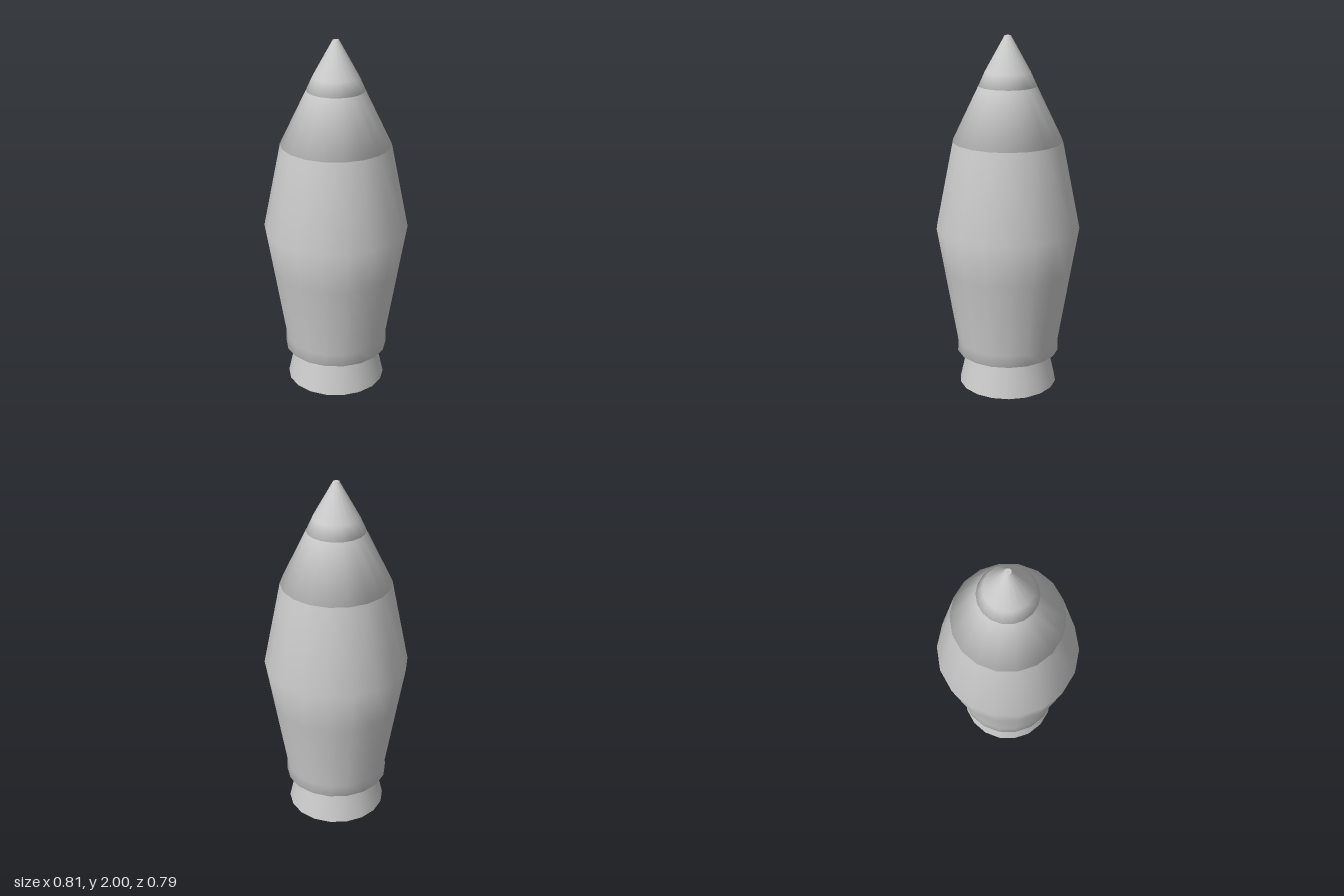
import * as THREE from 'three';

const SIDES = 18;
const grey = new THREE.MeshStandardMaterial({ color: 0xcccccc });
const greyDouble = new THREE.MeshStandardMaterial({ color: 0xcccccc, side: THREE.DoubleSide });

// Revolves [radius, height] points; a rising profile faces outward, a falling one inward.
function turned(name, profile, material = grey) {
  const points = profile.map(([r, y]) => new THREE.Vector2(r, y));
  const mesh = new THREE.Mesh(new THREE.LatheGeometry(points, SIDES, Math.PI / 2), material);
  mesh.name = name;
  return mesh;
}

export function createModel() {
  const rocket = new THREE.Group();
  rocket.name = 'rocket';

  // Exhaust nozzle: a flared, open, thick-walled ring reaching up into the hull
  rocket.add(turned('nozzleOuterWall', [[0.28, 0], [0.235, 0.2], [0.208, 0.32]]));
  rocket.add(turned('nozzleInnerWall', [[0.188, 0.32], [0.215, 0.2], [0.26, 0]]));
  rocket.add(turned('nozzleRim', [[0.26, 0], [0.28, 0]], greyDouble));

  // Barrel hull with a softly shaded foot, and the recess around the nozzle
  rocket.add(turned('hull', [
    [0.265, 0.2], [0.293, 0.2], [0.291, 0.27], [0.362, 0.7], [0.403, 0.945], [0.305, 1.43],
  ]));
  rocket.add(turned('hullRecess', [[0.265, 0.32], [0.265, 0.2]], greyDouble));
  rocket.add(turned('hullFloor', [[0, 0.32], [0.265, 0.32]], greyDouble));

  // Shoulder cone, its shading rolling under at the base
  rocket.add(turned('shoulder', [[0.1, 1.43], [0.305, 1.43], [0.16, 1.73]]));

  // Nose tip, rolling under in the same way, with a small blunt end
  rocket.add(turned('noseTip', [[0.112, 1.73], [0.16, 1.73], [0.126, 1.805], [0.017, 2]]));
  rocket.add(turned('noseEnd', [[0.017, 2], [0, 2]]));

  return rocket;
}
